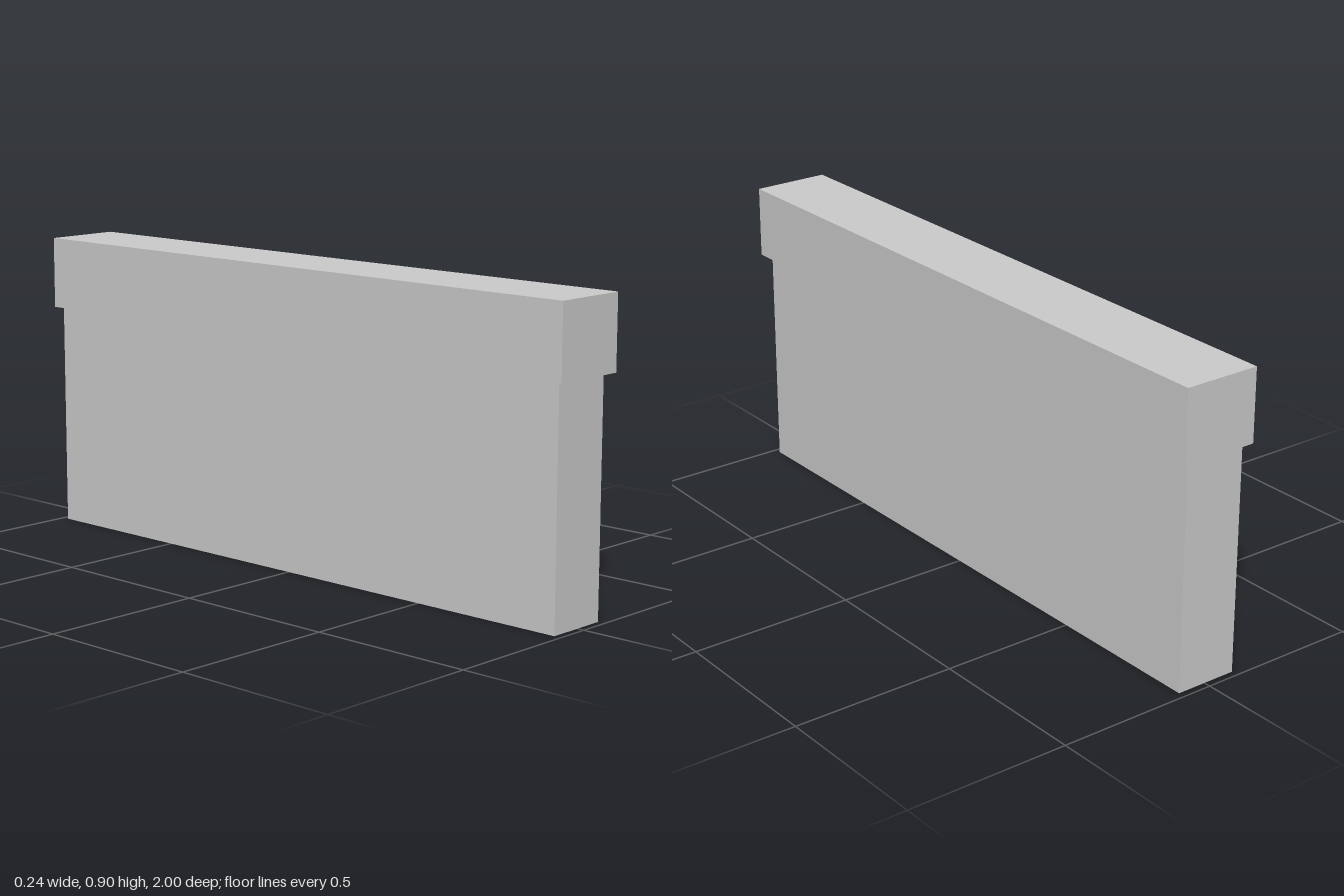
import * as THREE from 'three';

export function createModel() {
  const group = new THREE.Group();
  const material = new THREE.MeshStandardMaterial({ color: 0xcccccc, flatShading: true });

  // Block spanning the given x and y ranges, centred on z
  const addBlock = (name, x0, x1, y0, y1, depth) => {
    const mesh = new THREE.Mesh(new THREE.BoxGeometry(x1 - x0, y1 - y0, depth), material);
    mesh.name = name;
    mesh.position.set((x0 + x1) / 2, (y0 + y1) / 2, 0);
    group.add(mesh);
  };

  // Wall sits slightly off centre beneath the wider cap
  addBlock('wall', -0.1, 0.091, 0, 0.683, 1.958);
  addBlock('cap', -0.118, 0.118, 0.683, 0.9, 2);

  return group;
}
